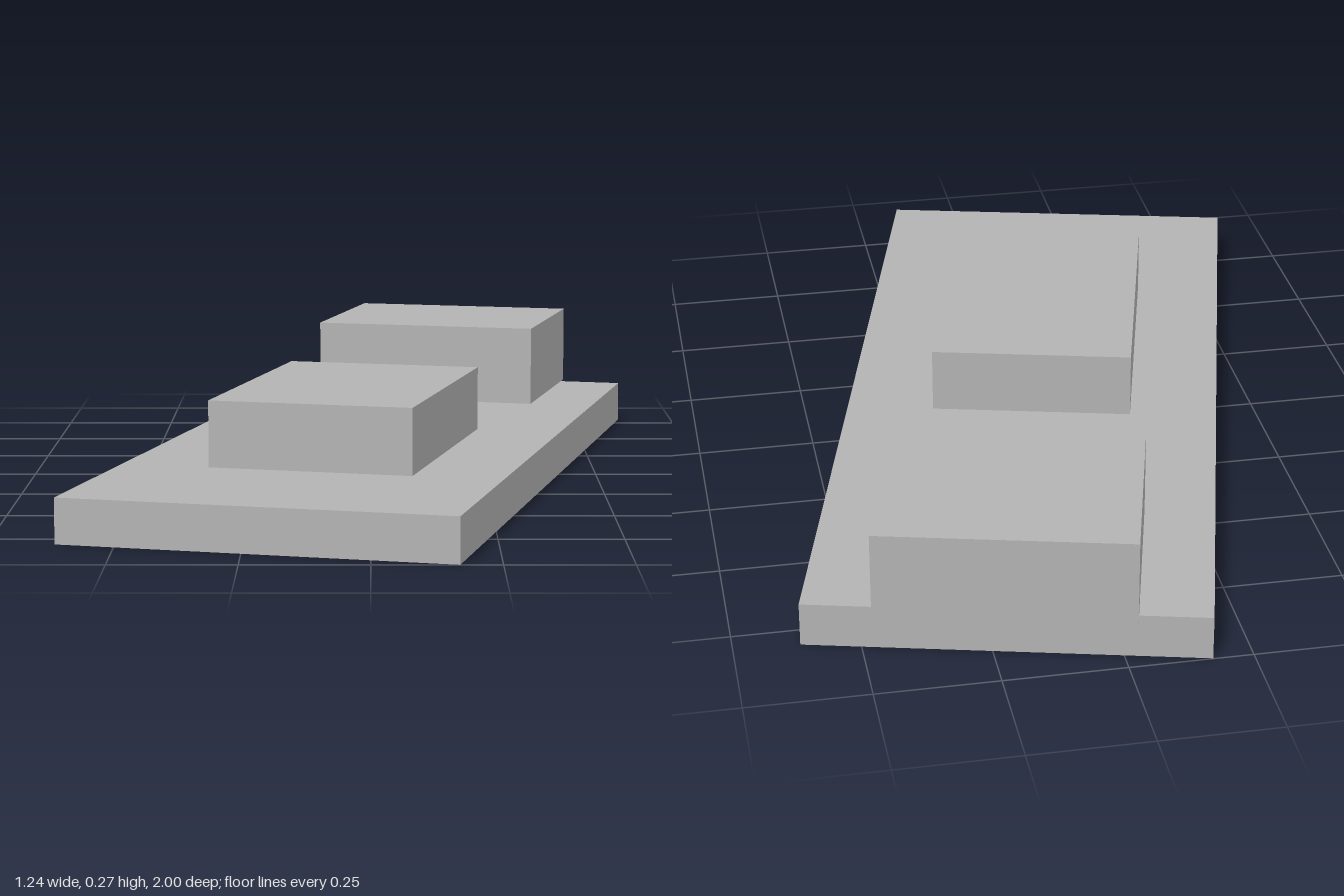
import * as THREE from 'three';

export function createModel() {
  const model = new THREE.Group();
  model.name = 'circuitBoard';

  const grey = new THREE.MeshStandardMaterial({ color: 0xb3b3b3 });
  grey.name = 'plain grey';

  // The whole board is turned about the vertical axis
  const board = new THREE.Group();
  board.name = 'turnedBoard';
  board.rotation.y = THREE.MathUtils.degToRad(-14);
  model.add(board);

  // Box spanning bottom..top, centred on the board's long axis at z
  function block(name, width, length, bottom, top, z) {
    const mesh = new THREE.Mesh(new THREE.BoxGeometry(width, top - bottom, length), grey);
    mesh.name = name;
    mesh.position.set(0, (bottom + top) / 2, z);
    board.add(mesh);
  }

  block('basePlate', 0.81, 1.857, 0, 0.093, 0);
  block('chip', 0.433, 0.637, 0.093, 0.233, 0.203);
  // The connector hangs slightly over the back edge
  block('connector', 0.518, 0.436, 0.093, 0.273, -0.742);

  return model;
}
